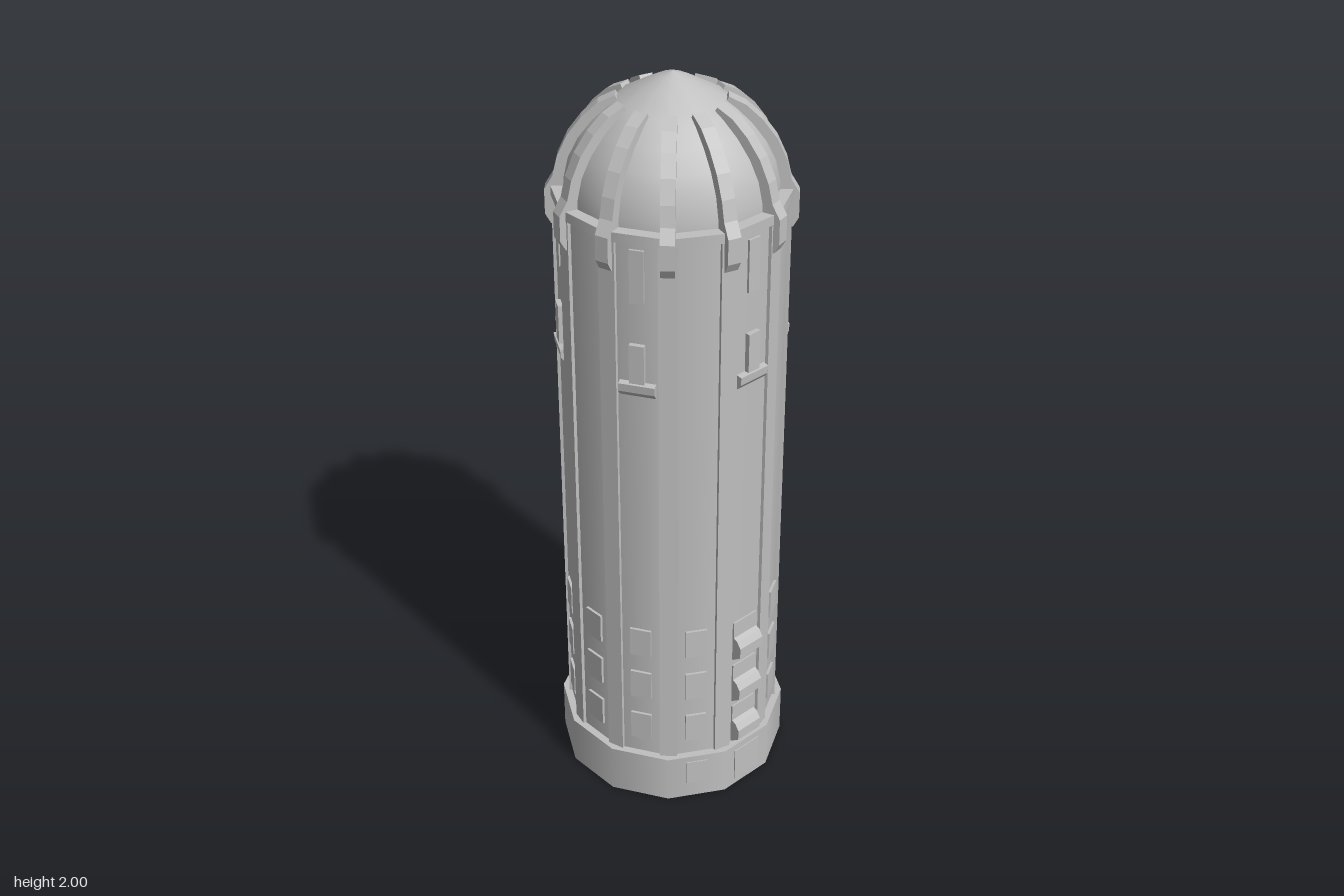
import * as THREE from 'three';

const SIDES = 12, STEP = Math.PI / 6, HALF = Math.PI / 12;
const WALL = 0.279; // centre of a wall face to the axis
const BASE = 0.299;

export function createModel() {
  const model = new THREE.Group();
  const tower = new THREE.Group();
  tower.name = 'tower';
  tower.position.x = -0.005;
  model.add(tower);

  const stone = new THREE.MeshStandardMaterial({ color: 0xc0c0c0 });
  stone.name = 'grey stone';

  function add(name, geometry, angle = 0) {
    const mesh = new THREE.Mesh(geometry, stone);
    mesh.name = name;
    mesh.rotation.y = angle;
    tower.add(mesh);
    return mesh;
  }

  // Twelve-sided drum with a flat face to the front
  function drum(name, apothem, y0, y1) {
    const r = apothem / Math.cos(HALF);
    const g = new THREE.CylinderGeometry(r, r, y1 - y0, SIDES, 1, false, HALF);
    add(name, g.translate(0, (y0 + y1) / 2, 0));
  }

  // Plate standing on a face; r0..r1 is its radial extent
  function plate(name, angle, w, y0, y1, r0, r1) {
    const g = new THREE.BoxGeometry(w, y1 - y0, r1 - r0);
    add(name, g.translate(0, (y0 + y1) / 2, (r0 + r1) / 2), angle);
  }

  // Side profile of [radius, height] points, given a width
  function profile(name, angle, w, points) {
    const shape = new THREE.Shape(points.map(p => new THREE.Vector2(...p)));
    const g = new THREE.ExtrudeGeometry(shape, { depth: w, bevelEnabled: false });
    add(name, g.translate(0, 0, -w / 2).rotateY(-Math.PI / 2), angle);
  }

  drum('base', BASE, 0, 0.14);
  drum('body', WALL, 0.14, 1.705);
  drum('rim', 0.287, 1.685, 1.71);

  // Dome with a pointed cap
  const domePoints = [[0.257, 1.7], [0.256, 1.73], [0.244, 1.785], [0.22, 1.835],
    [0.187, 1.88], [0.15, 1.917], [0.125, 1.937], [0.07, 1.969], [0.03, 1.99], [0, 2]];
  const k = 1 / Math.cos(HALF);
  add('dome', new THREE.LatheGeometry(
    domePoints.map(([r, y]) => new THREE.Vector2(r * k, y)), SIDES, HALF));

  // Pilasters and dome ribs on every corner
  const rib = [[0.27, 1.61], [0.294, 1.61], [0.308, 1.635], [0.308, 1.7], [0.287, 1.735],
    [0.275, 1.785], [0.25, 1.84], [0.215, 1.887], [0.175, 1.924], [0.134, 1.944],
    [0.12, 1.92], [0.18, 1.865], [0.225, 1.8], [0.245, 1.7]];
  for (let i = 0; i < SIDES; i++) {
    const a = HALF + i * STEP;
    plate('pilaster', a, 0.046, 0.14, 1.69, 0.27, 0.291);
    profile('domeRib', a, 0.035, rib);
  }

  // Lower windows in three rows; the left-out faces have hatches or a slot
  const rows = [0.19, 0.333, 0.475];
  for (let i = 0; i < SIDES; i++) {
    if (i === 3 || i === 5) continue;
    for (const y of rows) plate('lowerWindow', i * STEP, 0.057, y, y + 0.085, WALL - 0.01, WALL + 0.007);
  }
  plate('slot', 5 * STEP, 0.012, 0.15, 0.56, WALL - 0.01, WALL + 0.006);

  // Sloped hatches on one side
  for (const y of [0.145, 0.287, 0.43]) {
    profile('hatch', 3 * STEP, 0.083, [[0.265, y], [0.283, y], [0.309, y + 0.02],
      [0.309, y + 0.05], [0.297, y + 0.068], [0.284, y + 0.074], [0.284, y + 0.122], [0.265, y + 0.122]]);
  }

  // Upper windows and bracketed sills on every other face
  for (let i = 1; i < SIDES; i += 2) {
    const a = i * STEP;
    plate('topWindow', a, 0.036, 1.53, 1.67, WALL - 0.01, WALL + 0.006);
    plate('upperWindow', a, 0.038, 1.315, 1.42, WALL - 0.01, WALL + 0.013);
    profile('sill', a, 0.092, [[0.265, 1.27], [0.281, 1.275], [0.293, 1.29],
      [0.295, 1.312], [0.265, 1.317]]);
  }

  // Doors around the base
  plate('baseDoor', 3 * STEP, 0.09, 0.02, 0.12, BASE - 0.01, BASE + 0.003);
  for (const i of [2, 6]) plate('basePanel', i * STEP, 0.06, 0.05, 0.122, BASE - 0.01, BASE + 0.003);

  return model;
}
